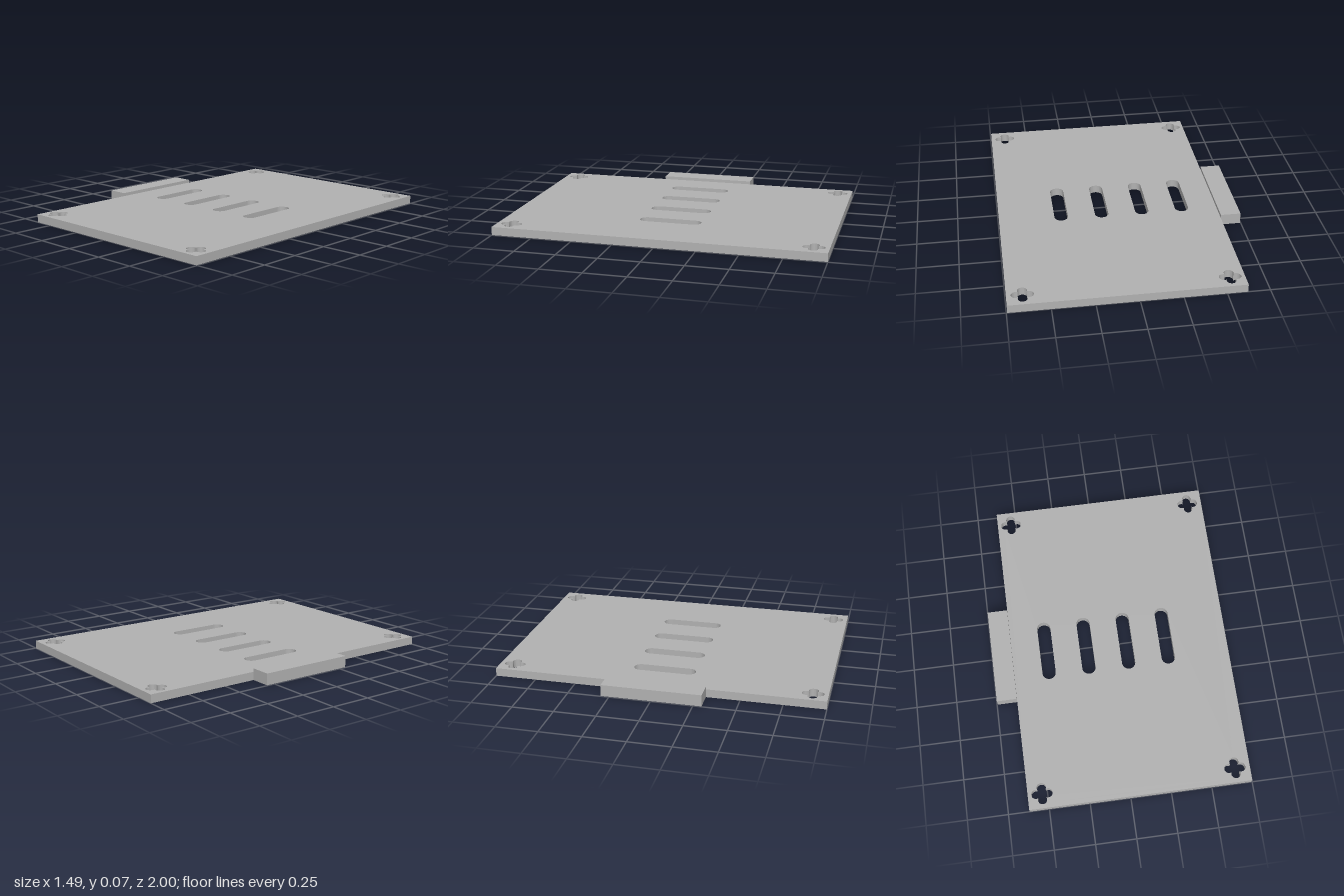
import * as THREE from 'three';
import { toCreasedNormals } from 'three/addons/utils/BufferGeometryUtils.js';

const LEFT = -0.62, RIGHT = 0.745, PLATE_H = 0.05;
const TAB_H = 0.07, TAB_HALF = 0.3;

// Rounded slot running along z
function slotHole(x, halfLength, r) {
  const hole = new THREE.Path();
  const c = halfLength - r;
  hole.absarc(x, c, r, 0, Math.PI, false);
  hole.absarc(x, -c, r, Math.PI, Math.PI * 2, false);
  hole.closePath();
  return hole;
}

// Four-lobed mounting hole made of overlapping arcs
function cloverHole(x, y, offset = 0.037, r = 0.028) {
  const hole = new THREE.Path();
  const t = (offset + Math.sqrt(2 * r * r - offset * offset)) / 2;
  const sweep = Math.atan2(t, t - offset);
  for (let i = 0; i < 4; i++) {
    const a = i * Math.PI / 2;
    hole.absarc(x + offset * Math.cos(a), y + offset * Math.sin(a), r, a - sweep, a + sweep, false);
  }
  hole.closePath();
  return hole;
}

export function createModel() {
  const group = new THREE.Group();
  group.name = 'slottedPlate';
  const grey = new THREE.MeshStandardMaterial({ color: 0xb2b2b2 });
  grey.name = 'plain grey';

  // Flat plate with slots and corner holes
  const outline = new THREE.Shape();
  outline.moveTo(LEFT, -1);
  outline.lineTo(RIGHT, -1);
  outline.lineTo(RIGHT, 1);
  outline.lineTo(LEFT, 1);
  outline.closePath();
  for (let i = 0; i < 4; i++) outline.holes.push(slotHole(-0.401 + i * 0.2535, 0.191, 0.042));
  for (const x of [-0.533, 0.653]) {
    for (const z of [-0.91, 0.91]) outline.holes.push(cloverHole(x, z));
  }
  const plateGeometry = new THREE.ExtrudeGeometry(outline, { depth: PLATE_H, bevelEnabled: false, curveSegments: 16 });
  plateGeometry.rotateX(-Math.PI / 2);
  const plate = new THREE.Mesh(toCreasedNormals(plateGeometry, 0.6), grey);
  plate.name = 'plate';
  group.add(plate);

  // Thicker tab on the side edge
  const tabWidth = LEFT + RIGHT;
  const tab = new THREE.Mesh(new THREE.BoxGeometry(tabWidth, TAB_H, TAB_HALF * 2), grey);
  tab.name = 'sideTab';
  tab.position.set(LEFT - tabWidth / 2, TAB_H / 2, 0);
  group.add(tab);

  return group;
}
